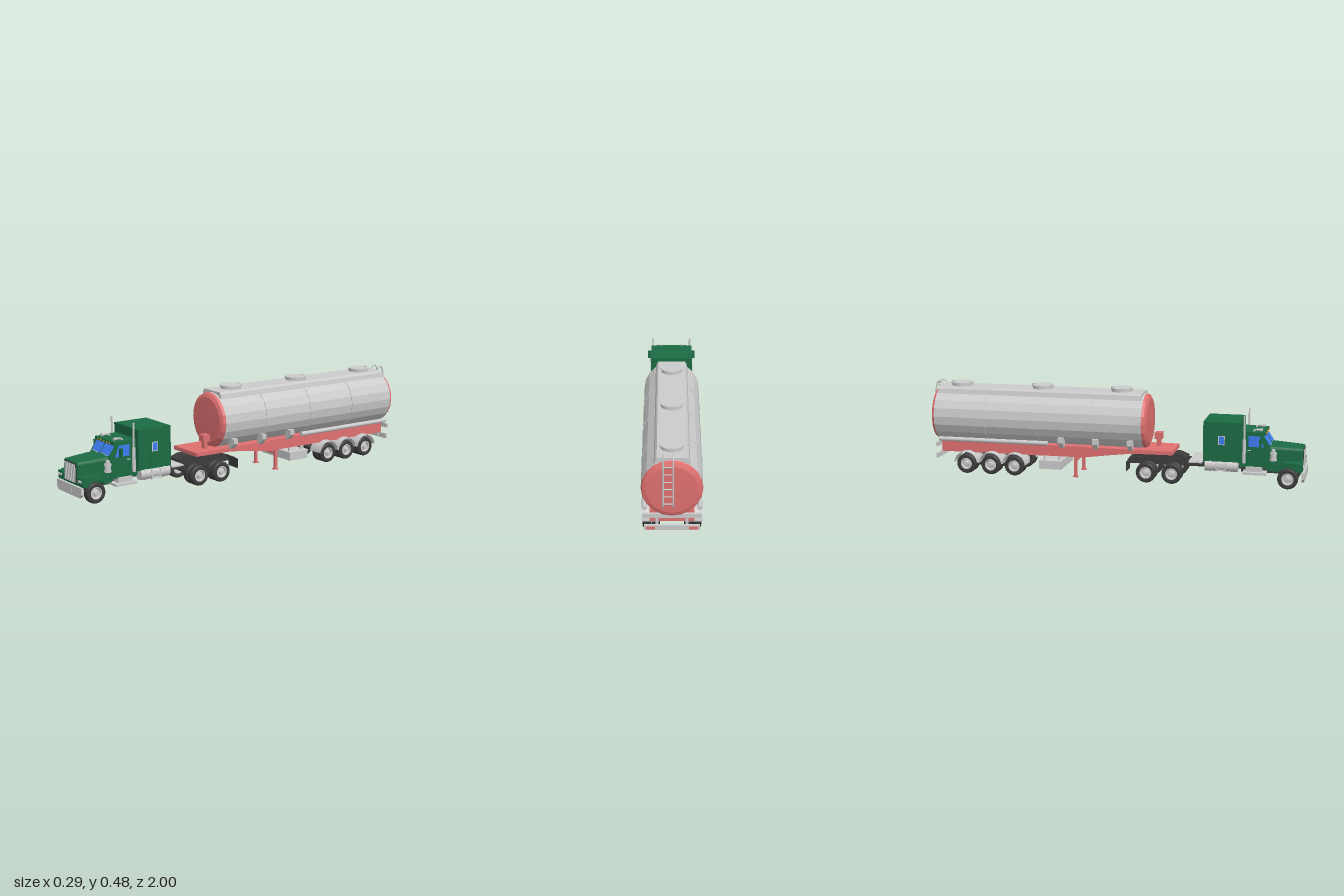
import * as THREE from 'three';

const material = (color, extra = {}) => new THREE.MeshStandardMaterial({ color, ...extra });
const GREY = material(0xcccccc);
const FACET = material(0xcccccc, { flatShading: true });
const RED = material(0xe07070);
const REDFACET = material(0xe07070, { flatShading: true });
const GREEN = material(0x1b6b43);
const BLUE = material(0x3d7df2);
const DARK = material(0x3c3c3c);
const AMBER = material(0xe09a20);
const SIDES = [-1, 1];

export function createModel() {
  const root = new THREE.Group();
  root.name = 'tankerTruck';
  const tractor = new THREE.Group();
  tractor.name = 'tractor';
  const trailer = new THREE.Group();
  trailer.name = 'trailer';
  root.add(tractor, trailer);

  const add = (parent, name, geo, mat, x = 0, y = 0, z = 0) => {
    const m = new THREE.Mesh(geo, mat);
    m.name = name;
    m.position.set(x, y, z);
    parent.add(m);
    return m;
  };
  const box = (p, name, mat, w, h, d, x, y, z) => add(p, name, new THREE.BoxGeometry(w, h, d), mat, x, y, z);
  // Cylinder along the given axis
  const cyl = (p, name, mat, axis, r, len, x, y, z, n = 16, r2 = r) => {
    const g = new THREE.CylinderGeometry(r, r2, len, n);
    if (axis === 'x') g.rotateZ(-Math.PI / 2);
    if (axis === 'z') g.rotateX(Math.PI / 2);
    return add(p, name, g, mat, x, y, z);
  };
  const shapeOf = pts => new THREE.Shape(pts.map(([a, b]) => new THREE.Vector2(a, b)));
  const extrude = (shape, depth) =>
    new THREE.ExtrudeGeometry(shape, { depth, bevelEnabled: false, curveSegments: 14 }).translate(0, 0, -depth / 2);
  // Side profile in (z, y), extruded across x
  const slab = (p, name, mat, shape, width, x = 0) => add(p, name, extrude(shape, width).rotateY(-Math.PI / 2), mat, x);
  // Profile of (radius, z) turned around the z axis
  const turnZ = (pts, n) =>
    new THREE.LatheGeometry(pts.map(([r, z]) => new THREE.Vector2(r, z)), n).rotateX(Math.PI / 2);
  const tube = (p, name, mat, pts, r) =>
    add(p, name, new THREE.TubeGeometry(new THREE.CatmullRomCurve3(pts.map(v => new THREE.Vector3(...v))), 30, r, 8), mat);

  // One wheel: tyre, rim ring and hub; s is the outward side
  const wheel = (p, name, s, x, z, w = 0.04) => {
    const g = new THREE.Group();
    g.name = name;
    g.position.set(x, 0.054, z);
    g.rotation.y = s * Math.PI / 2;
    p.add(g);
    const h = w / 2;
    add(g, 'tyre', turnZ([[0.03, -h * 0.85], [0.044, -h], [0.051, -h * 0.8], [0.053, -h * 0.5], [0.053, h * 0.5],
      [0.051, h * 0.8], [0.044, h], [0.03, h * 0.85]], 24), DARK);
    add(g, 'rim', turnZ([[0.001, -h * 0.6], [0.031, -h * 0.7], [0.031, h * 0.9], [0.026, h * 0.9], [0.022, h * 0.4], [0.013, h * 0.5],
      [0.011, h * 0.95], [0.001, h]], 20), material(0xcccccc, { side: THREE.DoubleSide, flatShading: true }));
  };
  const dualWheels = (p, name, z) => {
    for (const s of SIDES) for (const x of [0.078, 0.12]) wheel(p, name, s, s * x, z);
    cyl(p, 'axle', DARK, 'x', 0.012, 0.2, 0, 0.054, z, 10);
  };

  // ---- Tractor frame and wheels ----
  for (const s of SIDES) {
    box(tractor, 'frameRail', DARK, 0.014, 0.032, 0.82, s * 0.04, 0.098, 0.49);
    wheel(tractor, 'frontWheel', s, s * 0.104, 0.915);
    box(tractor, 'mudFlap', DARK, 0.08, 0.05, 0.004, s * 0.098, 0.085, 0.085);
    box(tractor, 'flapHanger', DARK, 0.07, 0.008, 0.01, s * 0.075, 0.109, 0.088);
  }
  for (const z of [0.085, 0.25, 0.4, 0.6]) box(tractor, 'crossMember', DARK, 0.08, 0.025, 0.015, 0, 0.098, z);
  cyl(tractor, 'frontAxle', DARK, 'x', 0.01, 0.18, 0, 0.054, 0.915, 10);
  for (const z of [0.32, 0.185]) dualWheels(tractor, 'driveWheel', z);
  slab(tractor, 'fifthWheel', DARK, shapeOf([[0.385, 0.115], [0.385, 0.125], [0.34, 0.143], [0.17, 0.143], [0.13, 0.125], [0.13, 0.115]]), 0.09);
  box(tractor, 'rearDeck', GREY, 0.23, 0.008, 0.07, 0, 0.118, 0.44);
  box(tractor, 'engineBlock', DARK, 0.09, 0.05, 0.26, 0, 0.09, 0.8);

  // ---- Hood: rounded section, tapering towards the grille ----
  const section = (w, y0, y1, r) => {
    const s = new THREE.Shape();
    s.moveTo(-w, y0);
    s.lineTo(w, y0);
    s.lineTo(w, y1 - r);
    s.quadraticCurveTo(w, y1, w - r, y1);
    s.lineTo(-w + r, y1);
    s.quadraticCurveTo(-w, y1, -w, y1 - r);
    return s;
  };
  const hoodGeo = new THREE.ExtrudeGeometry(section(0.088, 0.085, 0.215, 0.02), { depth: 0.17, bevelEnabled: true, bevelSize: 0.006, bevelThickness: 0.006, bevelOffset: -0.006, bevelSegments: 2, curveSegments: 5 });
  hoodGeo.translate(0, 0, 0.81);
  const hp = hoodGeo.attributes.position;
  for (let i = 0; i < hp.count; i++) {
    const t = (hp.getZ(i) - 0.81) / 0.17;
    hp.setX(i, hp.getX(i) * (1 - 0.2 * t));
    hp.setY(i, 0.085 + (hp.getY(i) - 0.085) * (1 - 0.08 * t));
  }
  hoodGeo.computeVertexNormals();
  add(tractor, 'hood', hoodGeo, GREEN);
  add(tractor, 'grillePanel', extrude(section(0.055, 0.1, 0.196, 0.012), 0.006), DARK, 0, 0, 0.986);
  for (let i = 0; i < 17; i++) box(tractor, 'grilleBar', GREY, 0.0038, 0.09, 0.004, (i - 8) * 0.0063, 0.147, 0.99);

  // ---- Front fenders, headlights, bumper ----
  for (const s of SIDES) {
    const f = shapeOf([[0.985, 0.09], [0.985, 0.125], [0.968, 0.138], [0.885, 0.138], [0.855, 0.118], [0.845, 0.09]]);
    f.lineTo(0.866, 0.09);
    f.absarc(0.915, 0.055, 0.06, Math.PI - 0.62, 0.62, true);
    slab(tractor, 'frontFender', GREEN, f, 0.056, s * 0.095);
    box(tractor, 'headlightPod', GREEN, 0.046, 0.036, 0.012, s * 0.098, 0.115, 0.984);
    for (const x of [0.089, 0.106]) cyl(tractor, 'headlight', GREY, 'z', 0.008, 0.006, s * x, 0.117, 0.991, 12);
  }
  add(tractor, 'frontBumper', extrude(shapeOf([[-0.105, 0.038], [0.105, 0.038], [0.122, 0.055], [0.122, 0.09], [-0.122, 0.09], [-0.122, 0.055]]), 0.014), GREY, 0, 0, 0.992);
  box(tractor, 'numberPlate', GREY, 0.05, 0.023, 0.002, 0, 0.058, 0.999);

  // ---- Cab ----
  slab(tractor, 'cab', GREEN, shapeOf([[0.665, 0.1], [0.815, 0.1], [0.822, 0.212], [0.785, 0.268], [0.768, 0.283], [0.665, 0.286]]), 0.186);
  for (const s of SIDES) {
    const pane = box(tractor, 'windshield', BLUE, 0.081, 0.056, 0.004, s * 0.0425, 0.24, 0.8035);
    pane.rotation.x = -0.56;
    const wiper = box(tractor, 'wiper', GREY, 0.05, 0.002, 0.003, s * 0.045, 0.219, 0.822);
    wiper.rotation.z = -0.1;
    slab(tractor, 'doorWindow', BLUE, shapeOf([[0.71, 0.208], [0.79, 0.208], [0.768, 0.264], [0.71, 0.264]]), 0.003, s * 0.094);
    box(tractor, 'doorPanel', GREEN, 0.004, 0.09, 0.1, s * 0.093, 0.155, 0.745);
    box(tractor, 'doorHandle', GREY, 0.005, 0.005, 0.018, s * 0.096, 0.19, 0.715);
    // Mirror on its arm
    box(tractor, 'mirror', GREEN, 0.018, 0.044, 0.012, s * 0.126, 0.235, 0.775);
    for (const y of [0.22, 0.25]) box(tractor, 'mirrorArm', GREY, 0.03, 0.003, 0.003, s * 0.105, y, 0.77);
    // Roof horns
    cyl(tractor, 'horn', GREY, 'z', 0.009, 0.045, s * 0.06, 0.292, 0.755, 10, 0.003);
    box(tractor, 'hornMount', GREY, 0.02, 0.008, 0.008, s * 0.06, 0.287, 0.735);
    // Exhaust stacks
    cyl(tractor, 'exhaustStack', GREY, 'y', 0.005, 0.23, s * 0.104, 0.255, 0.69, 12);
    cyl(tractor, 'muffler', GREY, 'y', 0.009, 0.12, s * 0.104, 0.185, 0.69, 12);
    // Air cleaners
    cyl(tractor, 'airCleaner', GREY, 'y', 0.016, 0.045, s * 0.106, 0.166, 0.84);
    for (const y of [0.15, 0.18]) cyl(tractor, 'cleanerBand', GREY, 'y', 0.0185, 0.006, s * 0.106, y, 0.84);
    cyl(tractor, 'cleanerCap', GREY, 'y', 0.011, 0.014, s * 0.106, 0.195, 0.84);
    // Fuel tanks and steps
    cyl(tractor, 'fuelTank', GREY, 'z', 0.029, 0.17, s * 0.098, 0.104, 0.575, 18);
    for (const z of [0.52, 0.63]) cyl(tractor, 'tankStrap', GREY, 'z', 0.031, 0.008, s * 0.098, 0.104, z, 18);
    for (const z of [0.55, 0.6]) box(tractor, 'tankStep', GREY, 0.012, 0.05, 0.004, s * 0.124, 0.1, z);
    for (const y of [0.085, 0.115]) box(tractor, 'tankTread', GREY, 0.012, 0.004, 0.05, s * 0.126, y, 0.575);
    box(tractor, 'cabStep', GREY, 0.07, 0.012, 0.12, s * 0.09, 0.074, 0.745);
    box(tractor, 'stepBox', GREY, 0.045, 0.03, 0.08, s * 0.08, 0.09, 0.74);
    // Sleeper side door and window
    box(tractor, 'sleeperDoor', GREEN, 0.004, 0.13, 0.05, s * 0.115, 0.2, 0.575);
    box(tractor, 'windowFrame', GREY, 0.005, 0.048, 0.034, s * 0.1155, 0.239, 0.575);
    box(tractor, 'sleeperWindow', BLUE, 0.006, 0.04, 0.026, s * 0.116, 0.239, 0.575);
  }
  box(tractor, 'windshieldDivider', GREEN, 0.004, 0.06, 0.007, 0, 0.24, 0.804).rotation.x = -0.56;
  box(tractor, 'sunVisor', GREEN, 0.176, 0.016, 0.025, 0, 0.276, 0.784);
  for (const x of [-0.056, -0.03, 0, 0.03, 0.056]) box(tractor, 'roofLight', AMBER, 0.007, 0.008, 0.008, x, 0.276, 0.797);

  // ---- Sleeper ----
  box(tractor, 'sleeper', GREEN, 0.228, 0.208, 0.19, 0, 0.229, 0.575);
  box(tractor, 'rearPanel', GREEN, 0.15, 0.075, 0.006, 0, 0.245, 0.479);
  box(tractor, 'rearLocker', GREEN, 0.18, 0.05, 0.006, 0, 0.16, 0.479);

  // ---- Tank with red rounded ends ----
  const R = 0.144, CY = 0.303;
  add(trailer, 'tankBody', turnZ([[R, -0.965], [R, 0.16]], 20), FACET, 0, CY);
  add(trailer, 'tankFrontEnd', turnZ([[R, 0.16], [0.139, 0.174], [0.12, 0.184], [0.0005, 0.187]], 20), REDFACET, 0, CY);
  add(trailer, 'tankRearEnd', turnZ([[0.0005, -0.987], [0.12, -0.984], [0.139, -0.977], [R, -0.965]], 20), REDFACET, 0, CY);
  for (const z of [-0.105, -0.4, -0.69]) cyl(trailer, 'tankBand', FACET, 'z', R + 0.003, 0.012, 0, CY, z, 20);
  add(trailer, 'topWalkway', extrude(shapeOf([[-0.086, 0.41], [0.086, 0.41], [0.078, 0.445], [0.07, 0.455], [-0.07, 0.455], [-0.078, 0.445]]), 1.11), GREY, 0, 0, -0.405);
  for (const z of [0.03, -0.4, -0.85]) {
    cyl(trailer, 'manhole', GREY, 'y', 0.054, 0.016, 0, 0.461, z, 24);
    cyl(trailer, 'manholeLid', GREY, 'y', 0.058, 0.006, 0, 0.471, z, 24);
    for (const x of [-0.008, 0.008]) box(trailer, 'lidHinge', GREY, 0.006, 0.005, 0.012, x, 0.475, z - 0.052);
  }

  // ---- Trailer chassis ----
  slab(trailer, 'chassis', RED, shapeOf([[0.32, 0.146], [0.32, 0.165], [-0.935, 0.172], [-0.935, 0.11], [-0.15, 0.112], [0.0, 0.132], [0.1, 0.144]]), 0.21);
  box(trailer, 'connectorPost', RED, 0.025, 0.05, 0.02, 0.035, 0.185, 0.222);
  box(trailer, 'connectorBox', RED, 0.045, 0.035, 0.04, 0.035, 0.22, 0.222);
  for (const s of SIDES) {
    for (const z of [0.1, -0.085, -0.27])
      add(trailer, 'tankBracket', extrude(shapeOf([[0.095, 0.158], [0.113, 0.16], [0.143, 0.19], [0.143, 0.216], [0.095, 0.216]].map(([x, y]) => [s * x, y])), 0.026), GREY, 0, 0, z);
    cyl(trailer, 'hoseTube', GREY, 'z', 0.012, 0.6, s * 0.13, 0.183, -0.64, 12);
    box(trailer, 'landingLeg', RED, 0.014, 0.115, 0.016, s * 0.088, 0.06, -0.2);
    box(trailer, 'landingFoot', RED, 0.022, 0.006, 0.026, s * 0.088, 0.004, -0.2);
    for (const z of [-0.29, -0.37]) box(trailer, 'lockerStrut', GREY, 0.008, 0.03, 0.008, s * 0.09, 0.1, z);
  }
  box(trailer, 'landingBrace', RED, 0.17, 0.01, 0.01, 0, 0.09, -0.2);
  box(trailer, 'storageLocker', GREY, 0.25, 0.045, 0.12, 0, 0.066, -0.33);

  // ---- Trailer wheels under curved fenders ----
  for (const z of [-0.525, -0.655, -0.79]) {
    dualWheels(trailer, 'trailerWheel', z);
    const arch = new THREE.Shape();
    arch.absarc(z, 0.056, 0.066, 0.1, Math.PI - 0.1, false);
    arch.absarc(z, 0.056, 0.062, Math.PI - 0.1, 0.1, true);
    for (const s of SIDES) slab(trailer, 'trailerFender', GREY, arch, 0.085, s * 0.1025);
  }

  // ---- Rear bars, lamps and ladder ----
  box(trailer, 'upperRearBar', GREY, 0.28, 0.022, 0.012, 0, 0.152, -0.952);
  box(trailer, 'lowerRearBar', GREY, 0.26, 0.026, 0.012, 0, 0.09, -0.955);
  for (const s of SIDES) {
    box(trailer, 'barHanger', GREY, 0.012, 0.075, 0.01, s * 0.07, 0.122, -0.944);
    box(trailer, 'tailLamp', RED, 0.04, 0.014, 0.004, s * 0.1, 0.09, -0.962);
  }
  for (const x of [-0.006, 0.041])
    tube(trailer, 'ladderRail', GREY, [[x, 0.21, -0.985], [x, 0.225, -0.996], [x, 0.33, -0.996], [x, 0.44, -0.996], [x, 0.47, -0.985], [x, 0.472, -0.965], [x, 0.445, -0.95]], 0.004);
  for (let i = 0; i < 6; i++) cyl(trailer, 'ladderRung', GREY, 'x', 0.003, 0.047, 0.0175, 0.235 + i * 0.038, -0.996, 8);

  return root;
}
